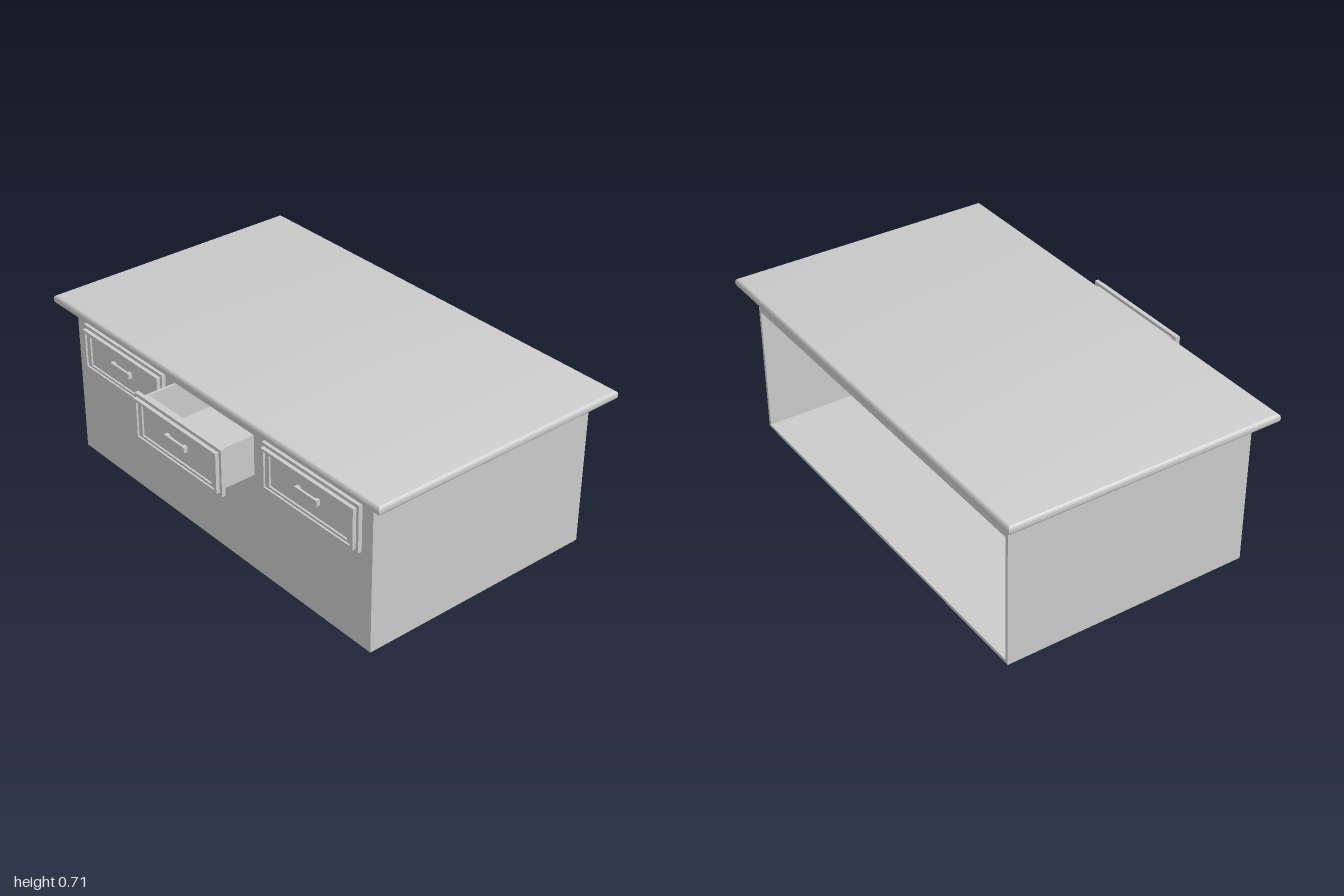
import * as THREE from 'three';
import { toCreasedNormals } from 'three/addons/utils/BufferGeometryUtils.js';

const material = new THREE.MeshStandardMaterial({ color: 0xcccccc });

function add(parent, name, geometry) {
  const mesh = new THREE.Mesh(geometry, material);
  mesh.name = name;
  parent.add(mesh);
  return mesh;
}

// Box given by its limits on each axis
function box(parent, name, x0, x1, y0, y1, z0, z1) {
  const mesh = add(parent, name, new THREE.BoxGeometry(x1 - x0, y1 - y0, z1 - z0));
  mesh.position.set((x0 + x1) / 2, (y0 + y1) / 2, (z0 + z1) / 2);
  return mesh;
}

// Trace a centred rectangle into a Shape or Path
function rect(path, halfW, halfH, cx = 0, cy = 0) {
  path.moveTo(cx - halfW, cy - halfH);
  path.lineTo(cx + halfW, cy - halfH);
  path.lineTo(cx + halfW, cy + halfH);
  path.lineTo(cx - halfW, cy + halfH);
  path.closePath();
  return path;
}

// Rectangular ring standing in the xy plane
function ring(parent, name, outer, inner, z0, z1) {
  const shape = rect(new THREE.Shape(), ...outer);
  shape.holes.push(rect(new THREE.Path(), ...inner));
  const geometry = new THREE.ExtrudeGeometry(shape, { depth: z1 - z0, bevelEnabled: false });
  add(parent, name, geometry).position.z = z0;
}

// Drawer whose front plate starts at local z = 0
function makeDrawer(name) {
  const drawer = new THREE.Group();
  drawer.name = name;

  // Front: plate, raised rim and inner step around the recessed panel
  box(drawer, 'drawerPlate', -0.27, 0.27, -0.102, 0.102, 0, 0.017);
  ring(drawer, 'drawerRim', [0.257, 0.088], [0.241, 0.077], 0.017, 0.033);
  ring(drawer, 'drawerStep', [0.241, 0.077], [0.218, 0.067], 0.017, 0.025);

  // Handle: bar on two feet
  box(drawer, 'handleBar', -0.063, 0.063, -0.005, 0.019, 0.024, 0.034);
  for (const s of [-1, 1]) {
    const foot = box(drawer, 'handleFoot', -0.009, 0.009, -0.005, 0.019, 0.017, 0.024);
    foot.position.x = s * 0.054;
  }

  // Open-topped tray
  const w = 0.246, h = 0.088, t = 0.012, back = -0.5;
  box(drawer, 'trayFloor', -w, w, -h, -h + t, back, 0);
  box(drawer, 'trayFront', -w, w, -h + t, h, -0.025, 0);
  box(drawer, 'trayBack', -w, w, -h + t, h, back, back + t);
  box(drawer, 'traySide', -w, -w + t, -h + t, h, back + t, -0.025);
  box(drawer, 'traySide', w - t, w, -h + t, h, back + t, -0.025);
  return drawer;
}

export function createModel() {
  const desk = new THREE.Group();
  desk.name = 'desk';

  const W = 0.912, top = 0.668, front = 0.48, back = -0.61, t = 0.014;
  const drawerY = 0.522, drawerX = [-0.575, 0, 0.585];

  // Worktop with rounded edges and mitred corners
  const r = 0.016;
  const slab = new THREE.ExtrudeGeometry(rect(new THREE.Shape(), 1 - r, 0.6 - r), {
    depth: 0.04 - 2 * r, bevelEnabled: true, bevelSize: r, bevelThickness: r, bevelSegments: 5,
  });
  slab.rotateX(-Math.PI / 2);
  add(desk, 'worktop', toCreasedNormals(slab, 0.6)).position.set(0, top + r, -0.065);

  // Cabinet shell, with a shelf space open to the back
  const cabinet = new THREE.Group();
  cabinet.name = 'cabinet';
  desk.add(cabinet);
  box(cabinet, 'sidePanel', -W, -W + t, 0, top, back, front);
  box(cabinet, 'sidePanel', W - t, W, 0, top, back, front);
  box(cabinet, 'floorPanel', -W + t, W - t, 0, t, back, front);
  box(cabinet, 'dividerPanel', -W + t, W - t, t, top, -0.13, -0.13 + t);
  box(cabinet, 'shelfCeiling', -W + t, W - t, 0.578, top, back, -0.13);

  // Front panel with drawer openings
  const face = rect(new THREE.Shape(), W - t, (top - t) / 2, 0, (top + t) / 2);
  for (const x of drawerX) face.holes.push(rect(new THREE.Path(), 0.248, 0.09, x, drawerY));
  const panel = new THREE.ExtrudeGeometry(face, { depth: t, bevelEnabled: false });
  add(cabinet, 'frontPanel', panel).position.z = front - t;

  // Three drawers, the middle one pulled out
  drawerX.forEach((x, i) => {
    const drawer = makeDrawer(['rightDrawer', 'middleDrawer', 'leftDrawer'][i]);
    drawer.position.set(x, drawerY, i === 1 ? 0.633 : front);
    desk.add(drawer);
  });

  return desk;
}
